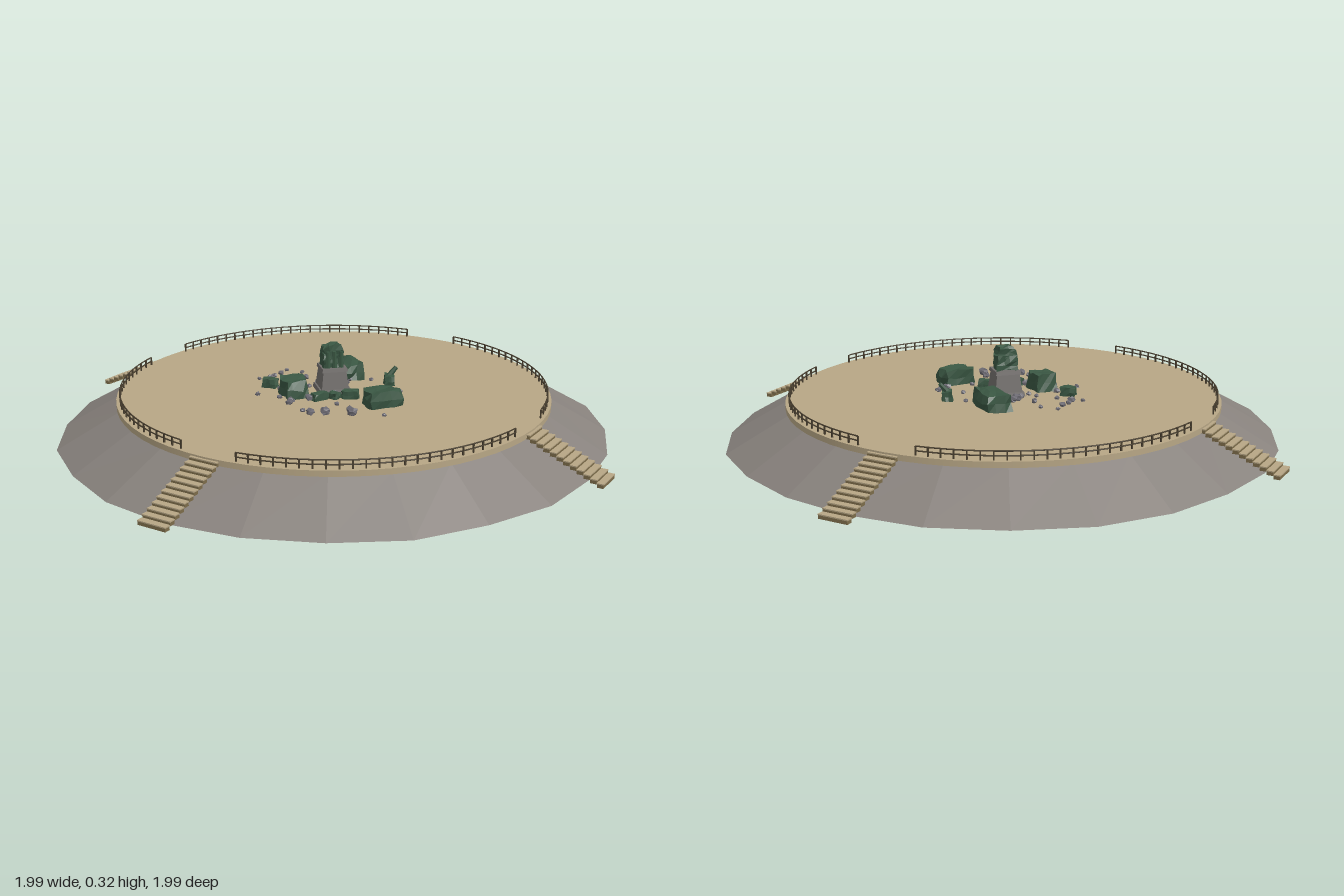
import * as THREE from 'three';

const mat = (name, color, flat) => {
  const m = new THREE.MeshStandardMaterial({ color, flatShading: !!flat });
  m.name = name;
  return m;
};

export function createModel() {
  const M = {
    earth: mat('mound grey', 0x88827d, true),
    sand: mat('sand plate', 0xb7a685),
    riser: mat('stair brown', 0x7d6d4b),
    rail: mat('rail dark brown', 0x4a4030),
    plinth: mat('plinth grey', 0x716d6b, true),
    bronze: mat('weathered green', 0x3a5743, true),
    stone: mat('rubble grey', 0x6d6b73, true),
  };
  const DECK = 0.143, CZ = -0.008;
  const model = new THREE.Group();
  model.name = 'ruinedMonument';

  const add = (parent, name, geo, material, x = 0, y = 0, z = 0) => {
    const mesh = new THREE.Mesh(geo, material);
    mesh.name = name;
    mesh.position.set(x, y, z);
    parent.add(mesh);
    return mesh;
  };
  const group = (parent, name) => {
    const g = new THREE.Group();
    g.name = name;
    parent.add(g);
    return g;
  };

  // Repeatable noise by position, so shared corners stay joined
  const noise = (x, y, z, s) => {
    const v = Math.sin(x * 127.1 + y * 311.7 + z * 74.7 + s * 53.3) * 43758.5453;
    return v - Math.floor(v) - 0.5;
  };
  const roughen = (geo, amount, seed) => {
    const p = geo.attributes.position;
    for (let i = 0; i < p.count; i++) {
      const c = [p.getX(i), p.getY(i), p.getZ(i)].map((v) => Math.round(v * 1000) / 1000 + 0);
      p.setXYZ(i, ...c.map((v, k) => v + amount * noise(...c, seed + k * 7)));
    }
    geo.computeVertexNormals();
    return geo;
  };

  // Mound: 24 sided frustum with a slightly uneven foot
  const mound = new THREE.CylinderGeometry(0.765, 0.995, 0.127, 24, 1);
  const mp = mound.attributes.position;
  for (let i = 0; i < mp.count; i++) {
    const x = mp.getX(i), z = mp.getZ(i);
    if (mp.getY(i) > 0 || Math.hypot(x, z) < 0.1) continue;
    const k = Math.round(Math.atan2(z, x) / (Math.PI / 12) + 24) % 24;
    const s = k % 6 === 0 ? 1 : 0.99 + 0.018 * noise(k, 1, 2, 3);
    mp.setX(i, x * s);
    mp.setZ(i, z * s);
  }
  mound.computeVertexNormals();
  add(model, 'mound', mound, M.earth, 0, 0.0635, -0.004);

  // Round deck
  add(model, 'deck', new THREE.CylinderGeometry(0.78, 0.78, 0.02, 64), M.sand, 0, DECK - 0.01, CZ);

  // Four stairways on the diagonals
  const N = 12, run = 0.285 / N;
  for (let q = 0; q < 4; q++) {
    const stair = group(model, 'stairway');
    stair.position.z = CZ;
    stair.rotation.y = Math.PI / 4 + q * Math.PI / 2;
    for (let i = 0; i < N; i++) {
      const top = 0.137 - i * 0.0107, r = 0.765 + (i + 0.5) * run;
      add(stair, 'tread', new THREE.BoxGeometry(0.108, 0.004, run), M.sand, 0, top - 0.002, r);
      add(stair, 'riser', new THREE.BoxGeometry(0.106, 0.012, run - 0.002), M.riser, 0, top - 0.01, r);
    }
  }

  // Four curved railings between the stairways
  const R = 0.766, HALF = 0.645, POSTS = 24;
  const postGeo = new THREE.BoxGeometry(0.005, 0.03, 0.005);
  for (let q = 0; q < 4; q++) {
    const railing = group(model, 'railing');
    railing.position.z = CZ;
    railing.rotation.y = q * Math.PI / 2;
    const at = (t, y) => {
      const a = (t * 2 - 1) * HALF;
      return new THREE.Vector3(R * Math.sin(a), y, R * Math.cos(a));
    };
    for (let i = 0; i <= POSTS; i++) {
      const p = at(i / POSTS, DECK + 0.015);
      add(railing, 'post', postGeo, M.rail, p.x, p.y, p.z).rotation.y = (i / POSTS * 2 - 1) * HALF;
    }
    for (const y of [0.158, 0.173]) {
      const pts = Array.from({ length: 25 }, (_, i) => at(i / 24, y));
      add(railing, 'rail', new THREE.TubeGeometry(new THREE.CatmullRomCurve3(pts), 72, 0.0025, 5), M.rail);
    }
  }

  // Plinth: square tapered blocks
  const plinth = group(model, 'plinth');
  plinth.position.set(-0.005, DECK, -0.012);
  const block = (w0, w1, h, y) => {
    const g = new THREE.CylinderGeometry(w1 / Math.SQRT2, w0 / Math.SQRT2, h, 4);
    g.rotateY(Math.PI / 4);
    add(plinth, 'plinthBlock', g, M.plinth, 0, y + h / 2, 0);
  };
  block(0.118, 0.112, 0.016, 0);
  block(0.1, 0.084, 0.066, 0.016);
  block(0.094, 0.09, 0.012, 0.08);

  // Broken statue stump on the plinth
  const stump = group(model, 'statueStump');
  stump.position.set(-0.005, DECK + 0.092, -0.01);
  add(stump, 'legs', roughen(new THREE.BoxGeometry(0.076, 0.055, 0.062, 3, 3, 3), 0.01, 2), M.bronze, 0, 0.026, 0);
  add(stump, 'brokenTop', roughen(new THREE.BoxGeometry(0.064, 0.036, 0.056, 3, 2, 3), 0.014, 5), M.bronze, -0.004, 0.06, 0);
  for (const x of [-0.024, 0, 0.024]) {
    add(stump, 'fold', new THREE.CylinderGeometry(0.007, 0.01, 0.06, 6), M.bronze, x, 0.032, 0.03);
  }

  // Fallen statue pieces: x, z, width, height, depth, yaw
  const pieces = [
    [0.09, -0.17, 0.095, 0.062, 0.155, 0.1],
    [-0.155, 0.013, 0.085, 0.066, 0.1, 0.12],
    [0.125, 0.19, 0.122, 0.058, 0.085, 0.2],
    [-0.217, -0.098, 0.055, 0.034, 0.042, -0.6],
    [0.215, -0.03, 0.04, 0.036, 0.062, -0.2],
    [0.035, 0.093, 0.06, 0.03, 0.036, -0.3],
    [-0.075, 0.086, 0.058, 0.028, 0.034, 0.35],
    [-0.02, 0.082, 0.034, 0.024, 0.036, 0.7],
  ];
  pieces.forEach(([x, z, w, h, d, yaw], i) => {
    const g = new THREE.BoxGeometry(1, 1, 1, 3, 2, 3);
    const p = g.attributes.position;
    // Pull the corners in a little before roughening
    for (let k = 0; k < p.count; k++) {
      const f = 1.1 - 0.22 * Math.hypot(p.getX(k), p.getZ(k)) - 0.1 * Math.max(0, p.getY(k));
      p.setX(k, p.getX(k) * f);
      p.setZ(k, p.getZ(k) * f);
    }
    roughen(g, 0.16, i + 11);
    g.scale(w, h, d);
    add(model, 'fallenPiece', g, M.bronze, x, DECK + h / 2 - 0.002, z).rotation.y = yaw;
  });
  // Arm stub on the far right piece
  const arm = add(model, 'armStub', new THREE.CylinderGeometry(0.008, 0.012, 0.055, 6), M.bronze, 0.225, DECK + 0.04, -0.035);
  arm.rotation.z = -0.7;

  // Rubble: x, z, radius in hundredths
  const rubble = [
    [-12, -27, 0.8], [-15, -23, 1.2], [-18, -21, 1], [-20, -18, 1.4], [-7, -23, 0.9], [-7, -16, 1.2],
    [-16, -14, 1], [0, -13, 1.6], [2, -10, 1.9], [-2, -11, 1.8], [-4, -9, 1.3], [8, -10, 1.3],
    [6, -6, 1.2], [-28, -1, 1], [-18, 9, 1.3], [-19, 11, 1.4], [-11, 8, 1.6], [-16, 20, 1],
    [-14, 23, 1.6], [-9, 24, 1.8], [0, 23, 1.4], [0, 27, 1.8], [10, 31, 0.8], [22, 8, 1.2],
    [18, 11, 1.4], [-5, 6, 1.5], [-10, -9, 0.9], [-8, -6, 1], [-24, -19, 0.8], [16, -8, 0.9],
    [-19, -5, 1.2], [-1, 5, 1.4], [-21, 4, 1], [8, 13, 0.9], [14, 3, 0.9], [-3, 16, 0.9],
  ];
  rubble.forEach(([x, z, r], i) => {
    const g = roughen(new THREE.DodecahedronGeometry(1), 0.4, i);
    g.scale(r / 100, r / 120, r / 100);
    add(model, 'rubble', g, M.stone, x / 100, DECK + r / 170, z / 100).rotation.y = i;
  });

  return model;
}
